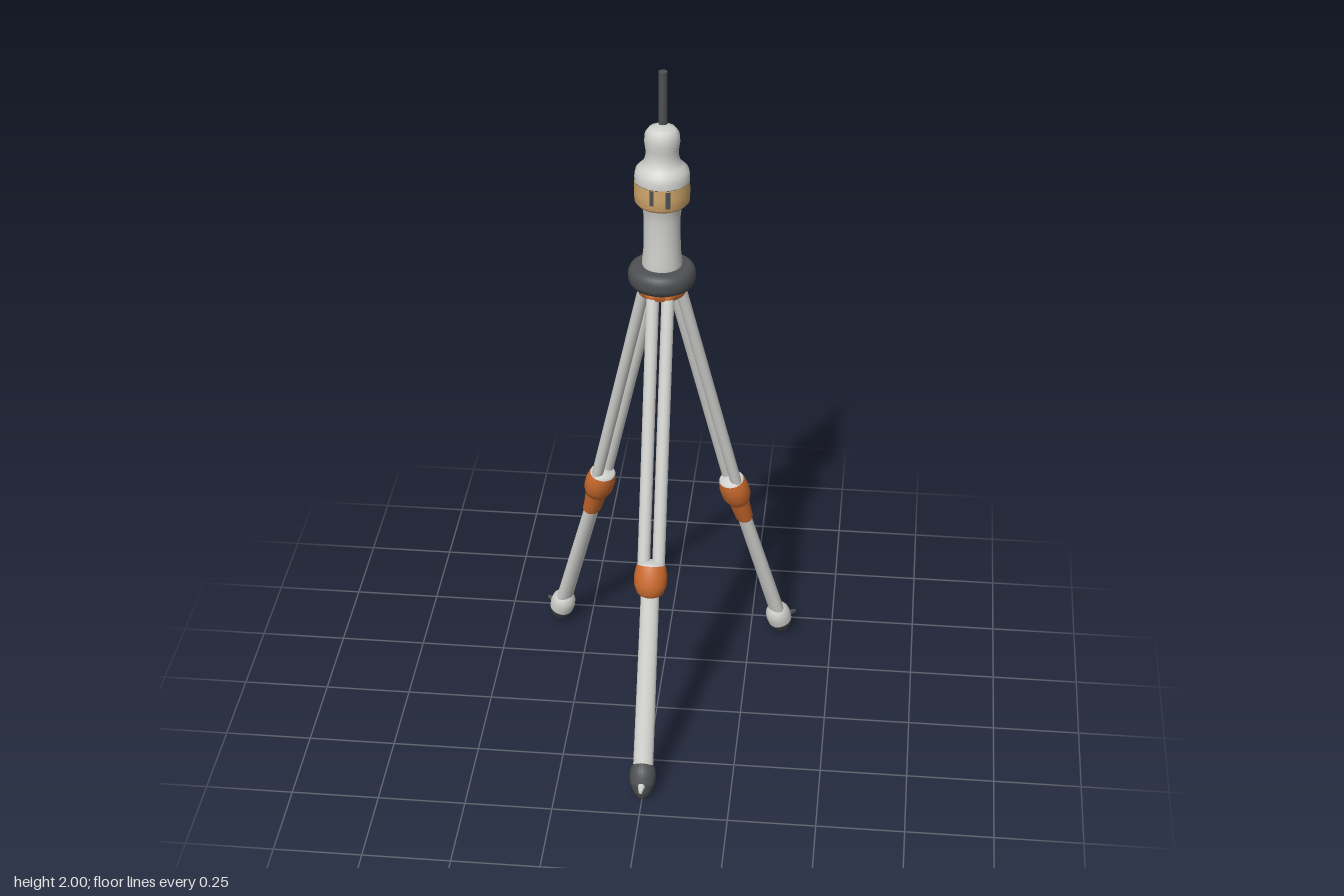
import * as THREE from 'three';

const material = (name, color) => {
  const m = new THREE.MeshStandardMaterial({ color });
  m.name = name;
  return m;
};

export function createModel() {
  const light = material('light grey', 0xd0d0cd);
  const dark = material('dark grey', 0x4e5053);
  const orange = material('orange', 0xc9692d);
  const tan = material('tan', 0xcfa66c);

  const model = new THREE.Group();
  model.name = 'tripodInstrument';
  const UP = new THREE.Vector3(0, 1, 0);

  const add = (parent, name, geometry, mat) => {
    const mesh = new THREE.Mesh(geometry, mat);
    mesh.name = name;
    parent.add(mesh);
    return mesh;
  };
  // turned part; points are [radius, height] from bottom to top
  const turned = (points, segments = 32) =>
    new THREE.LatheGeometry(points.map(([r, y]) => new THREE.Vector2(r, y)), segments);
  // lays a y-aligned part along a direction starting from a point
  const along = (mesh, origin, dir) => {
    mesh.position.copy(origin);
    mesh.quaternion.setFromUnitVectors(UP, dir);
    return mesh;
  };

  // central column, on the axis where the legs meet
  const hub = new THREE.Group();
  hub.name = 'instrument';
  hub.position.z = -0.143;
  model.add(hub);
  add(hub, 'legCollar', turned([[0, 1.335], [0.05, 1.335], [0.066, 1.345], [0.068, 1.375], [0, 1.375]]), orange);
  add(hub, 'baseDisc', turned([
    [0, 1.365], [0.075, 1.365], [0.088, 1.373], [0.094, 1.388], [0.094, 1.408],
    [0.088, 1.422], [0.075, 1.43], [0, 1.43]], 40), dark);
  add(hub, 'column', turned([
    [0.054, 1.42], [0.056, 1.44], [0.052, 1.475], [0.051, 1.53], [0.051, 1.58], [0.055, 1.615], [0.064, 1.63]]), light);
  add(hub, 'band', turned([
    [0.05, 1.62], [0.068, 1.62], [0.076, 1.63], [0.077, 1.66], [0.076, 1.69]]), tan);
  const head = add(hub, 'head', turned([
    [0.076, 1.69], [0.076, 1.705], [0.072, 1.722], [0.06, 1.734], [0.05, 1.745], [0.045, 1.765],
    [0.046, 1.785], [0.049, 1.805], [0.047, 1.828], [0.037, 1.842], [0.02, 1.847], [0, 1.848]]), light);
  head.scale.z = 0.98;
  const antenna = add(hub, 'antenna', new THREE.CylinderGeometry(0.012, 0.012, 0.17, 16), dark);
  antenna.position.set(0, 1.915, -0.018);

  // dark marks curving round the band
  for (const [angle, y, width, height] of [
    [-0.28, 1.667, 0.15, 0.045], [0.3, 1.662, 0.18, 0.05], [-1.6, 1.668, 0.12, 0.045]]) {
    const mark = add(hub, 'bandMark',
      new THREE.CylinderGeometry(0.0785, 0.0785, height, 6, 1, true, angle - width / 2, width), dark);
    mark.position.y = y;
  }

  // one leg, built in its own plane with +z pointing outward
  function addLeg(name, yaw, clampR, footR, front) {
    const leg = new THREE.Group();
    leg.name = name;
    leg.rotation.y = yaw;
    hub.add(leg);
    const top = new THREE.Vector3(0, 1.365, 0.043);
    const joint = new THREE.Vector3(0, 0.59, clampR);
    const foot = new THREE.Vector3(0, 0.06, footR);
    const upper = top.clone().sub(joint);
    const lower = joint.clone().sub(foot);
    const upperLength = upper.length();
    const lowerLength = lower.length();
    upper.normalize();
    lower.normalize();

    // paired upper rails
    for (const side of [-1, 1]) {
      const geometry = new THREE.CylinderGeometry(0.018, 0.018, upperLength, 16);
      geometry.scale(1, 1, 0.9).translate(side * 0.021, upperLength / 2, 0);
      along(add(leg, 'upperRail', geometry, light), joint, upper);
      const lug = add(leg, 'railLug', new THREE.SphereGeometry(0.022, 16, 10), orange);
      lug.position.set(side * 0.02, 1.352, 0.044);
    }

    // lower tube, flattened front to back
    const tube = new THREE.CylinderGeometry(0.026, 0.029, lowerLength, 24);
    tube.scale(1, 1, 0.72).translate(0, lowerLength / 2, 0);
    along(add(leg, 'lowerTube', tube, light), foot, lower);

    // clamp with a pale shoulder on top
    const clamp = turned([
      [0.02, -0.05], [0.036, -0.04], [0.046, -0.015], [0.047, 0.015], [0.043, 0.036], [0.04, 0.045]], 24);
    clamp.scale(1, 1, 0.9);
    along(add(leg, 'clamp', clamp, orange), joint, lower);
    const shoulder = turned([[0.04, 0.045], [0.034, 0.053], [0, 0.06]], 24);
    shoulder.scale(1, 1, 0.9);
    along(add(leg, 'clampShoulder', shoulder, light), joint, lower);
    if (!front) {
      const sleeve = turned([[0.027, -0.115], [0.03, -0.11], [0.033, -0.07], [0.037, -0.035]], 24);
      sleeve.scale(1, 1, 0.82);
      along(add(leg, 'clampSleeve', sleeve, orange), joint, lower);
    }

    // foot: pale or dark cup, dark sole and a spur pointing outward
    const cup = turned([[0.036, -0.012], [0.038, 0.01], [0.035, 0.03], [0.027, 0.043], [0.02, 0.05]], 24);
    along(add(leg, 'footCup', cup, front ? dark : light), foot, lower);
    const sole = turned([[0, -0.06], [0.012, -0.056], [0.027, -0.036], [0.036, -0.012]], 24);
    along(add(leg, 'footSole', sole, dark), foot, lower);
    const spur = new THREE.CylinderGeometry(0.005, 0.018, 0.06, 12);
    spur.rotateX(Math.PI / 2).translate(0, 0, 0.03);
    add(leg, 'footSpur', spur, front ? light : dark).position.set(0, 0.058, footR + 0.002);
  }

  addLeg('frontLeg', 0, 0.322, 0.55, true);
  for (const side of [-1, 1]) {
    addLeg(side > 0 ? 'backLeftLeg' : 'backRightLeg', side * 2.26, 0.262, 0.438, false);
  }
  return model;
}
